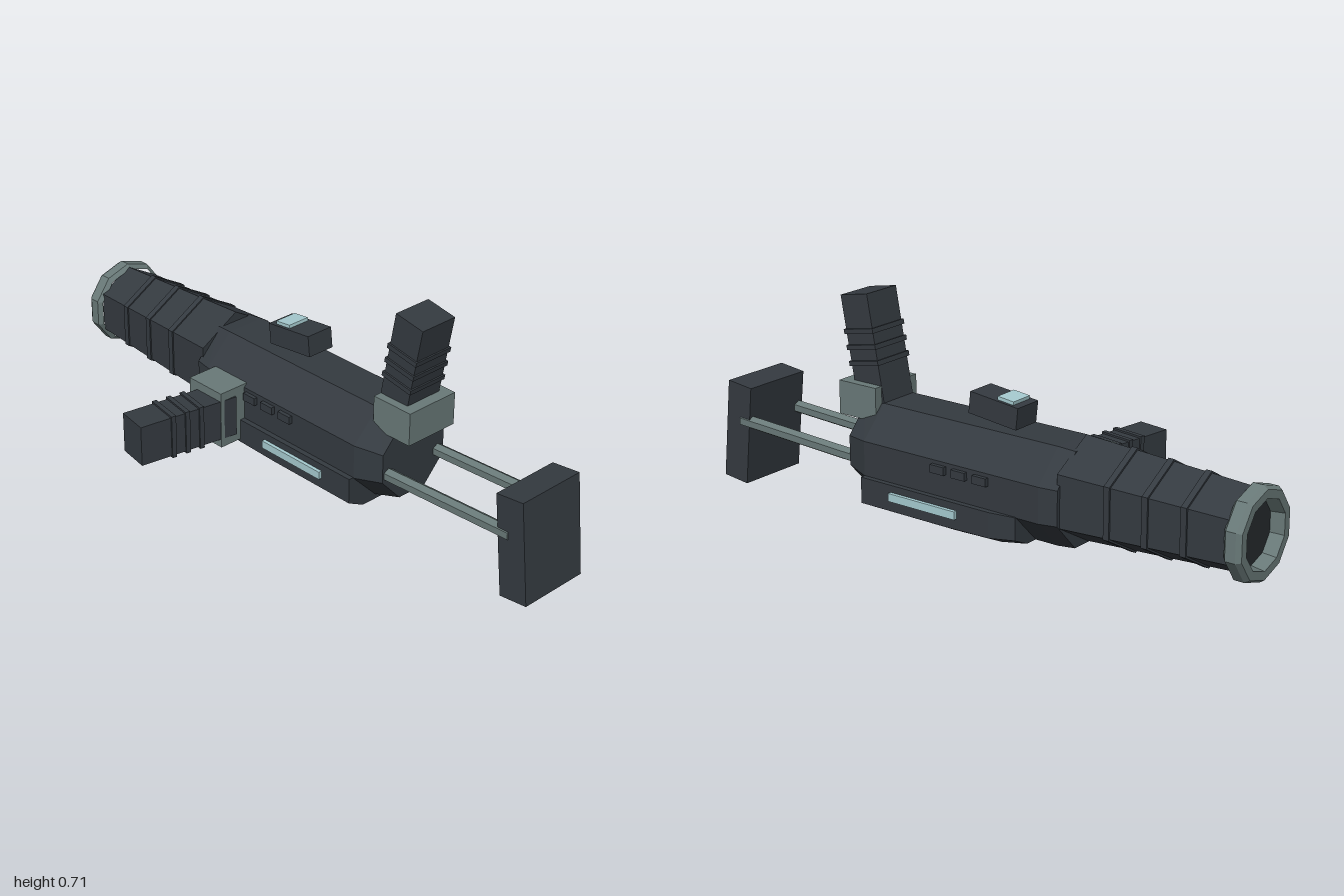
import * as THREE from 'three';

const ZC = -0.176; // centre line of the launcher
const AY = 0.248; // barrel axis height

export function createModel() {
  const root = new THREE.Group();
  root.name = 'launcher';
  const mat = (name, color) => {
    const m = new THREE.MeshStandardMaterial({ color });
    m.name = name;
    return m;
  };
  const dark = mat('dark gunmetal', 0x343a40);
  const black = mat('bore black', 0x262b2e);
  const grey = mat('green grey metal', 0x697978);
  const glow = mat('pale cyan', 0xa6cbd0);

  const add = (name, geo, material, x, y, z, parent = root) => {
    const flat = geo.index ? geo.toNonIndexed() : geo;
    flat.computeVertexNormals();
    const m = new THREE.Mesh(flat, material);
    m.name = name;
    m.position.set(x, y, z);
    parent.add(m);
    return m;
  };
  const box = (w, h, d) => new THREE.BoxGeometry(w, h, d);

  // Prism lying along x, one corner pointing straight up; r0 is the -x end
  const tubeX = (r0, r1, len, sides) =>
    new THREE.CylinderGeometry(r0, r1, len, sides, 1, false, Math.PI / 2).rotateZ(Math.PI / 2);

  // Skin over [z, y] profiles placed along x as [x, scaleZ, scaleY]
  const loft = (profile, sections) => {
    const pos = [], idx = [], n = profile.length;
    for (const [x, sz, sy] of sections) for (const [z, y] of profile) pos.push(x, y * sy, z * sz);
    for (let i = 0; i < sections.length - 1; i++) {
      for (let j = 0; j < n; j++) {
        const a = i * n + j, b = i * n + (j + 1) % n;
        idx.push(a, a + n, b, b, a + n, b + n);
      }
    }
    const e = (sections.length - 1) * n;
    for (let j = 1; j < n - 1; j++) idx.push(0, j, j + 1, e, e + j + 1, e + j);
    const g = new THREE.BufferGeometry();
    g.setAttribute('position', new THREE.Float32BufferAttribute(pos, 3));
    g.setIndex(idx);
    return g;
  };

  // Main body: octagonal hull with tapered ends
  const oct = [[0.167, -0.057], [0.167, 0.057], [0.07, 0.155], [-0.07, 0.155],
    [-0.167, 0.057], [-0.167, -0.057], [-0.07, -0.155], [0.07, -0.155]];
  add('body', loft(oct, [[-0.4, 0.93, 0.97], [-0.34, 1, 1], [0.33, 1, 1], [0.42, 0.8, 0.85]]),
    dark, 0, 0.23, ZC);

  // Lower housing
  const hull = [[0.185, -0.085], [0.185, 0], [-0.185, 0], [-0.185, -0.085], [-0.123, -0.117], [0.123, -0.117]];
  add('lowerHousing', loft(hull, [[-0.26, 0.93, 0.85], [-0.17, 1, 0.96], [0, 1, 1], [0.33, 1, 1]]),
    dark, 0, 0.175, ZC);

  // Barrel with thin bands
  add('barrel', tubeX(0.133, 0.166, 0.56, 6), dark, -0.67, AY, ZC);
  for (const x of [-0.81, -0.685, -0.56]) {
    const r = 0.133 + (x + 0.95) / 0.56 * 0.033 + 0.006;
    add('barrelBand', tubeX(r, r, 0.02, 6), dark, x, AY, ZC);
  }

  // Muzzle ring and bore
  const rim = [[0.13, 0], [0.145, 0.012], [0.145, 0.045], [0.135, 0.06], [0.108, 0.06], [0.1, 0.008]]
    .map(([r, y]) => new THREE.Vector2(r, y));
  add('muzzleRing', new THREE.LatheGeometry(rim, 10, Math.PI / 2).rotateZ(Math.PI / 2), grey, -0.94, 0.246, ZC);
  add('bore', tubeX(0.106, 0.106, 0.008, 10), black, -0.952, 0.246, ZC);

  // Side strips and vents
  for (const s of [1, -1]) {
    add('lightStrip', box(0.26, 0.026, 0.03), glow, 0.08, 0.139, ZC + s * 0.182);
    for (const x of [-0.13, -0.05, 0.03]) {
      add('vent', box(0.052, 0.026, 0.03), dark, x, 0.262, ZC + s * 0.165);
    }
  }

  // Tilted sight with lit panel
  const sight = new THREE.Group();
  sight.name = 'sight';
  sight.position.set(-0.09, 0.441, -0.184);
  sight.rotation.z = 0.11;
  root.add(sight);
  add('sightBox', box(0.18, 0.07, 0.1), dark, 0, 0, 0, sight);
  add('sightPanel', box(0.06, 0.014, 0.08), glow, -0.035, 0.039, 0, sight);

  // Handle: mount block plus leaning ribbed grip, pointing along local +y
  const handle = (name, lean) => {
    const g = new THREE.Group();
    g.name = name;
    root.add(g);
    add('mount', box(0.15, 0.11, 0.195), grey, 0, 0.055, 0, g);
    const grip = new THREE.Group();
    grip.name = 'grip';
    grip.position.set(0, 0.215, 0);
    grip.rotation.z = lean;
    g.add(grip);
    add('gripBar', box(0.11, 0.35, 0.137), dark, 0, 0, 0, grip);
    for (const y of [0.059, 0.008, -0.043]) add('gripRib', box(0.12, 0.016, 0.149), dark, 0, y, 0, grip);
    return g;
  };
  handle('topHandle', -0.18).position.set(0.415, 0.328, ZC);
  const front = handle('frontHandle', 0.16);
  front.position.set(-0.24, 0.202, -0.02);
  front.rotation.x = Math.PI / 2;

  // Shoulder stock: two rods and a tilted pad
  for (const s of [1, -1]) {
    const rod = add('stockRod', tubeX(0.022, 0.022, 0.56, 6), grey, 0.63, 0.212, ZC + s * 0.108);
    rod.rotation.z = 0.045;
  }
  const pad = add('stockPad', box(0.1, 0.337, 0.247), dark, 0.925, 0.183, ZC);
  pad.rotation.z = 0.11;
  return root;
}
